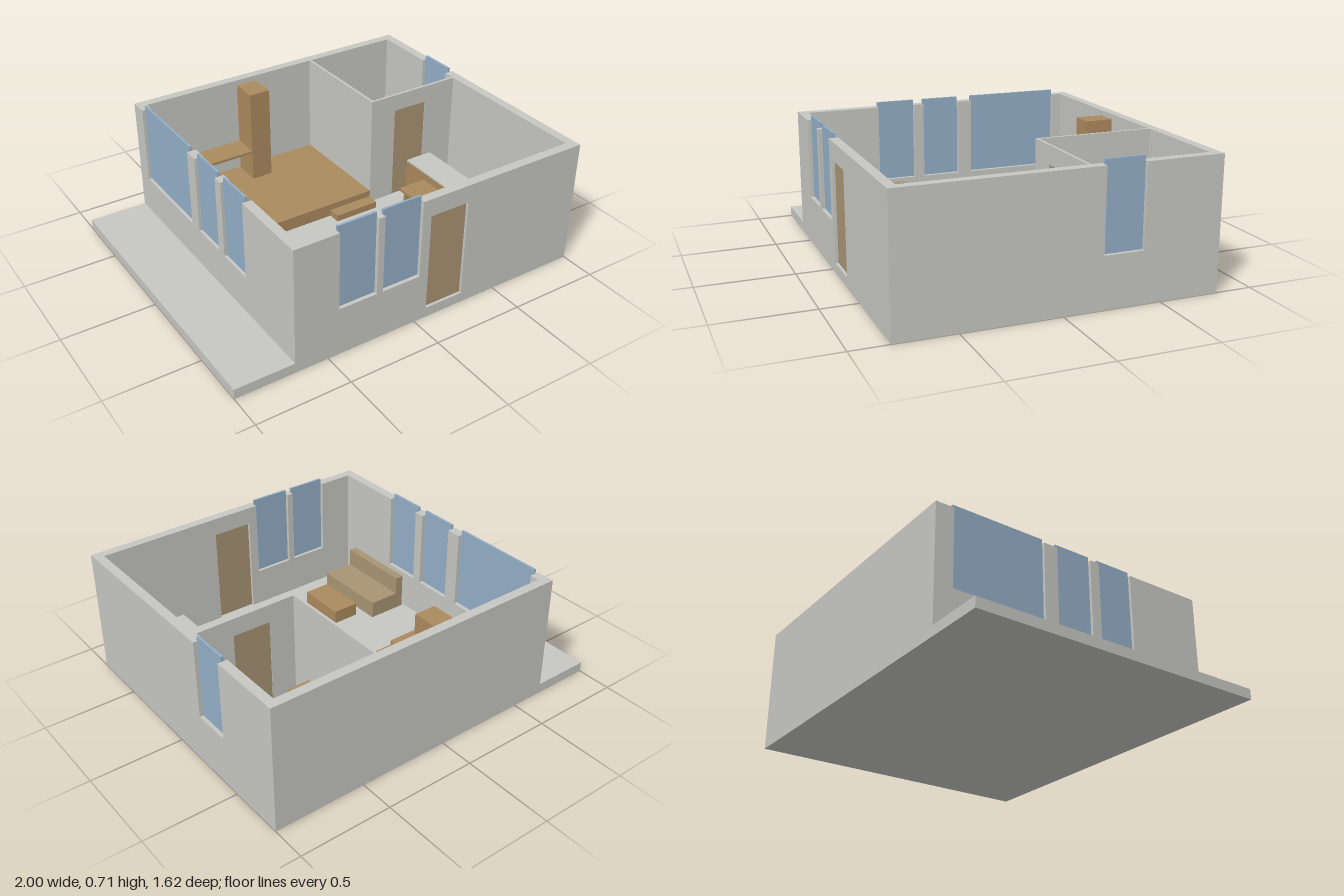
import * as THREE from 'three';

export function createModel() {
  const model = new THREE.Group();
  const mat = (name, color) => {
    const m = new THREE.MeshStandardMaterial({ color });
    m.name = name;
    return m;
  };
  const plaster = mat('plaster', 0xc6c6c2);
  const wood = mat('wood', 0xab8a5e);
  const taupe = mat('taupe', 0xa89473);
  const glass = mat('glass', 0x93aec6);

  const FLOOR = 0.055, TOP = 0.685, SILL = 0.265, PLATFORM = 0.128;

  // Box given by its extents on each axis
  function box(name, material, [x0, x1], [y0, y1], [z0, z1], parent = model) {
    const mesh = new THREE.Mesh(new THREE.BoxGeometry(x1 - x0, y1 - y0, z1 - z0), material);
    mesh.position.set((x0 + x1) / 2, (y0 + y1) / 2, (z0 + z1) / 2);
    mesh.name = name;
    parent.add(mesh);
    return mesh;
  }

  // Wall along +x, with window notches open at the top and door notches at the floor
  function wall(name, u0, u1, thickness, windows = [], doors = []) {
    const s = new THREE.Shape();
    s.moveTo(u0, FLOOR);
    for (const [a, b] of doors) {
      s.lineTo(a, FLOOR); s.lineTo(a, 0.59); s.lineTo(b, 0.59); s.lineTo(b, FLOOR);
    }
    s.lineTo(u1, FLOOR);
    s.lineTo(u1, TOP);
    for (const [a, b] of [...windows].reverse()) {
      s.lineTo(b, TOP); s.lineTo(b, SILL); s.lineTo(a, SILL); s.lineTo(a, TOP);
    }
    s.lineTo(u0, TOP);
    const mesh = new THREE.Mesh(
      new THREE.ExtrudeGeometry(s, { depth: thickness, bevelEnabled: false }), plaster);
    mesh.name = name;
    model.add(mesh);
    return mesh;
  }

  // Base slab with the terrace on the right-hand side
  box('baseSlab', plaster, [-1, 1], [0, FLOOR], [-0.81, 0.81]);

  // Outer walls
  const frontWindows = [[-0.44, -0.23], [-0.195, 0.02]];
  const terraceWindows = [[-0.71, -0.19], [-0.11, 0.1], [0.155, 0.365]];
  const sideWindow = [-0.405, -0.2];
  wall('frontWall', -0.68, 1, 0.05, frontWindows, [[0.07, 0.29]]).position.z = 0.76;
  wall('backWall', -0.68, 1, 0.05).position.z = -0.81;
  // Side walls are turned so that the wall's length runs along -z
  const flip = ([a, b]) => [-b, -a];
  const terraceWall = wall('terraceWall', -0.76, 0.76, 0.05, terraceWindows.map(flip).reverse());
  const sideWall = wall('sideWall', -0.76, 0.76, 0.05, [flip(sideWindow)]);
  terraceWall.rotation.y = sideWall.rotation.y = Math.PI / 2;
  terraceWall.position.x = -0.68;
  sideWall.position.x = 0.95;

  // Window panes rise slightly above the walls
  const paneY = [SILL, 0.71];
  frontWindows.forEach((w) => box('frontWindow', glass, w, paneY, [0.778, 0.79]));
  terraceWindows.forEach((w) => box('terraceWindow', glass, [-0.664, -0.652], paneY, w));
  box('sideWindow', glass, [0.968, 0.98], paneY, sideWindow);

  // Bathroom partitions and the two doors
  wall('bathroomFrontWall', 0.395, 0.95, 0.015, [], [[0.55, 0.755]]).position.z = -0.145;
  box('bathroomSideWall', plaster, [0.395, 0.41], [FLOOR, TOP], [-0.76, -0.145]);
  box('frontDoor', taupe, [0.07, 0.29], [FLOOR, 0.59], [0.775, 0.795]);
  box('bathroomDoor', taupe, [0.55, 0.755], [FLOOR, 0.59], [-0.142, -0.133]);

  // Raised sleeping platform with a step at each end
  box('platform', wood, [-0.63, 0.395], [FLOOR, PLATFORM], [-0.76, -0.13]);
  box('platformStep', wood, [-0.63, -0.29], [FLOOR, 0.092], [-0.13, -0.06]);
  box('platformStep', wood, [0.13, 0.39], [FLOOR, 0.092], [-0.13, -0.06]);
  box('wardrobe', wood, [-0.09, 0.03], [PLATFORM, 0.66], [-0.75, -0.6]);
  box('desk', wood, [-0.58, -0.09], [0.295, 0.31], [-0.75, -0.6]);

  // Bathroom fittings
  box('showerTray', plaster, [0.62, 0.935], [FLOOR, 0.1], [-0.755, -0.525]);
  box('toilet', plaster, [0.46, 0.56], [FLOOR, 0.18], [-0.755, -0.59]);
  box('vanity', wood, [0.42, 0.545], [FLOOR, 0.26], [-0.435, -0.27]);

  // Kitchen counter, bar table and stools
  box('counterBody', wood, [0.615, 0.775], [FLOOR, 0.272], [-0.085, 0.6]);
  box('counterTop', plaster, [0.615, 0.775], [0.272, 0.281], [-0.085, 0.6]);
  box('barTop', wood, [0.45, 0.615], [0.215, 0.23], [0.07, 0.425]);
  for (const z of [0.085, 0.395]) {
    box('barSupport', wood, [0.47, 0.615], [FLOOR, 0.215], [z, z + 0.015]);
  }
  for (const z of [0.125, 0.27]) {
    box('stool', wood, [0.33, 0.44], [FLOOR, 0.167], [z, z + 0.11]);
  }

  // Seating corner
  const sofa = new THREE.Group();
  sofa.name = 'sofa';
  model.add(sofa);
  box('sofaSeat', taupe, [-0.57, -0.395], [FLOOR, 0.15], [0.23, 0.66], sofa);
  box('sofaBack', taupe, [-0.615, -0.57], [FLOOR, 0.25], [0.23, 0.66], sofa);
  box('coffeeTable', wood, [-0.34, -0.19], [FLOOR, 0.13], [0.31, 0.585]);

  return model;
}
